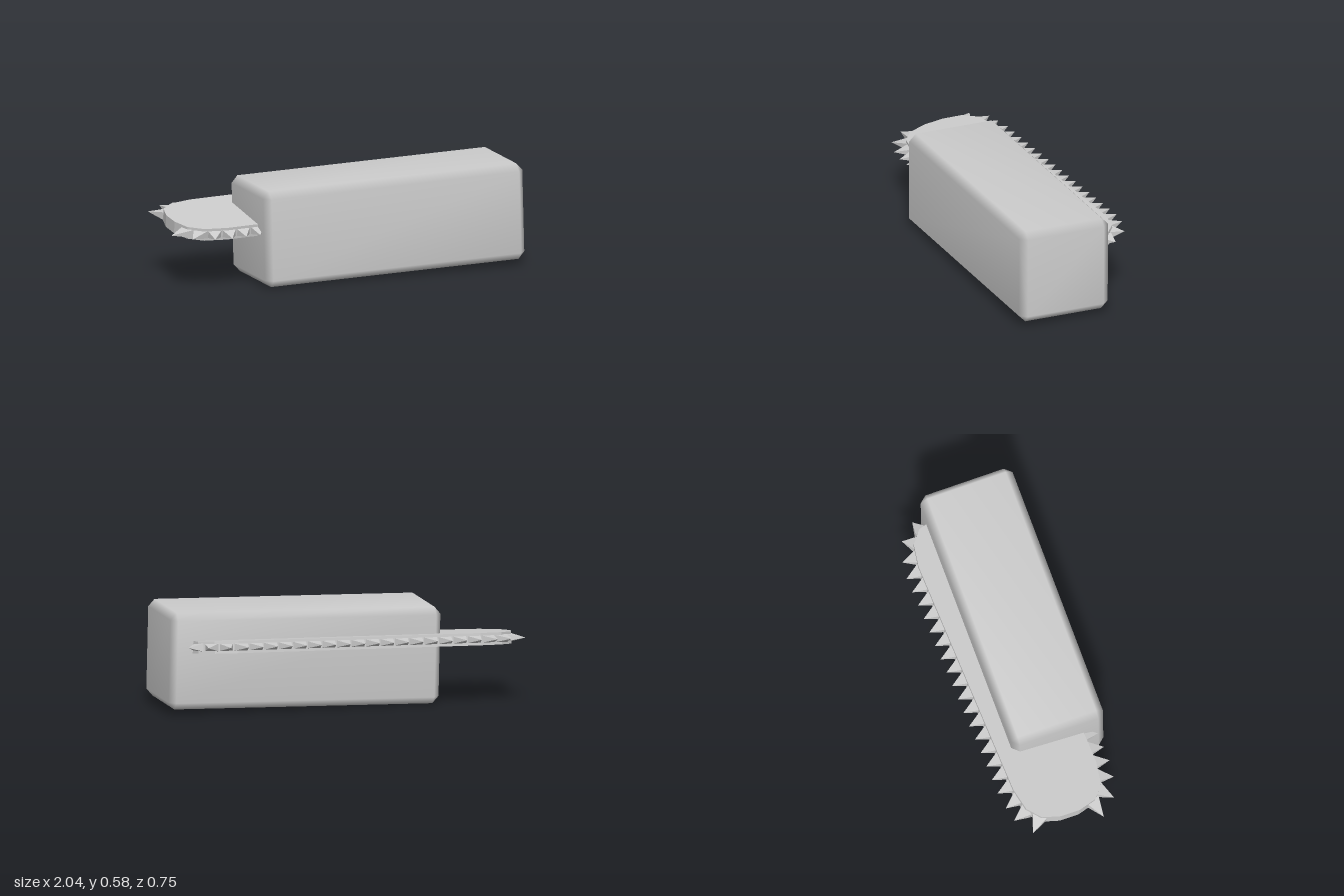
import * as THREE from 'three';
import { mergeVertices, mergeGeometries } from 'three/addons/utils/BufferGeometryUtils.js';
import { ConvexGeometry } from 'three/addons/geometries/ConvexGeometry.js';

// Box with chamfered edges and normals shared across the whole surface
function chamferedBox(w, h, d, cx, c) {
  const points = [];
  for (const sx of [-1, 1]) for (const sy of [-1, 1]) for (const sz of [-1, 1]) {
    const x = w / 2, y = h / 2, z = d / 2;
    for (const [px, py, pz] of [[x, y - c, z - c], [x - cx, y, z - c], [x - cx, y - c, z]]) {
      points.push(new THREE.Vector3(sx * px, sy * py, sz * pz));
    }
  }
  const geometry = new ConvexGeometry(points);
  geometry.deleteAttribute('normal');
  const smooth = mergeVertices(geometry, 1e-4);
  smooth.computeVertexNormals();
  return smooth;
}

// Pyramid tooth: base on the bar's rim, tip along the given vector
function tooth(base, tangent, tip, width, height) {
  const up = new THREE.Vector3(0, height, 0);
  const along = tangent.clone().multiplyScalar(width);
  if (along.clone().cross(tip).dot(up) < 0) along.negate();
  const cone = new THREE.ConeGeometry(Math.SQRT1_2, 1, 4, 1);
  cone.rotateY(Math.PI / 4).translate(0, 0.5, 0);
  cone.applyMatrix4(new THREE.Matrix4().makeBasis(along, tip, up).setPosition(base));
  const flat = cone.toNonIndexed();
  flat.computeVertexNormals();
  return flat;
}

export function createModel() {
  const model = new THREE.Group();
  const smoothGrey = new THREE.MeshStandardMaterial({ color: 0xcccccc });
  const flatGrey = new THREE.MeshStandardMaterial({ color: 0xcccccc, flatShading: true });

  // Motor housing, resting slightly askew
  const housing = new THREE.Mesh(chamferedBox(1.545, 0.54, 0.538, 0.035, 0.04), smoothGrey);
  housing.name = 'housing';
  housing.position.set(0.215, 0.287, 0.104);
  housing.rotation.set(-0.013, -0.008, 0.02);
  model.add(housing);

  // Guide bar with rounded ends, tilted through the housing
  const saw = new THREE.Group();
  saw.name = 'saw';
  saw.position.set(-0.05, 0.35, -0.025);
  saw.rotation.set(0.115, 0.032, 0.015);
  model.add(saw);

  const quarter = [[0.935, 0.055], [0.905, 0.16], [0.83, 0.224], [0.70, 0.248]];
  const half = [...quarter, ...quarter.map(([x, z]) => [-x, z]).reverse()];
  const outline = [...half, ...half.map(([x, z]) => [-x, -z])].map(([x, z]) => new THREE.Vector2(x, z));
  const thickness = 0.068;
  const shape = new THREE.Shape(outline);
  shape.closePath();
  const barGeometry = new THREE.ExtrudeGeometry(shape, { depth: thickness, bevelEnabled: false });
  barGeometry.rotateX(Math.PI / 2).translate(0, thickness / 2, 0);
  const bar = new THREE.Mesh(barGeometry, flatGrey);
  bar.name = 'guideBar';
  saw.add(bar);

  // Teeth along both long edges and round the corners; the end noses stay bare
  const pitch = 0.084;
  const count = Math.round(shape.getLength() / pitch);
  const teeth = [];
  for (let i = 0; i < count; i++) {
    const u = (i + 0.5) / count;
    const p = shape.getPointAt(u);
    if (Math.abs(p.y) < 0.13) continue;
    const t = shape.getTangentAt(u);
    const tangent = new THREE.Vector3(t.x, 0, t.y);
    const outward = new THREE.Vector3(t.y, 0, -t.x);
    const base = new THREE.Vector3(p.x, 0, p.y).addScaledVector(outward, -0.012);
    const tip = outward.clone().multiplyScalar(0.094);
    tip.x -= 0.02;
    teeth.push(tooth(base, tangent, tip, pitch, 0.044));
  }
  const chain = new THREE.Mesh(mergeGeometries(teeth), flatGrey);
  chain.name = 'chainTeeth';
  saw.add(chain);

  return model;
}
